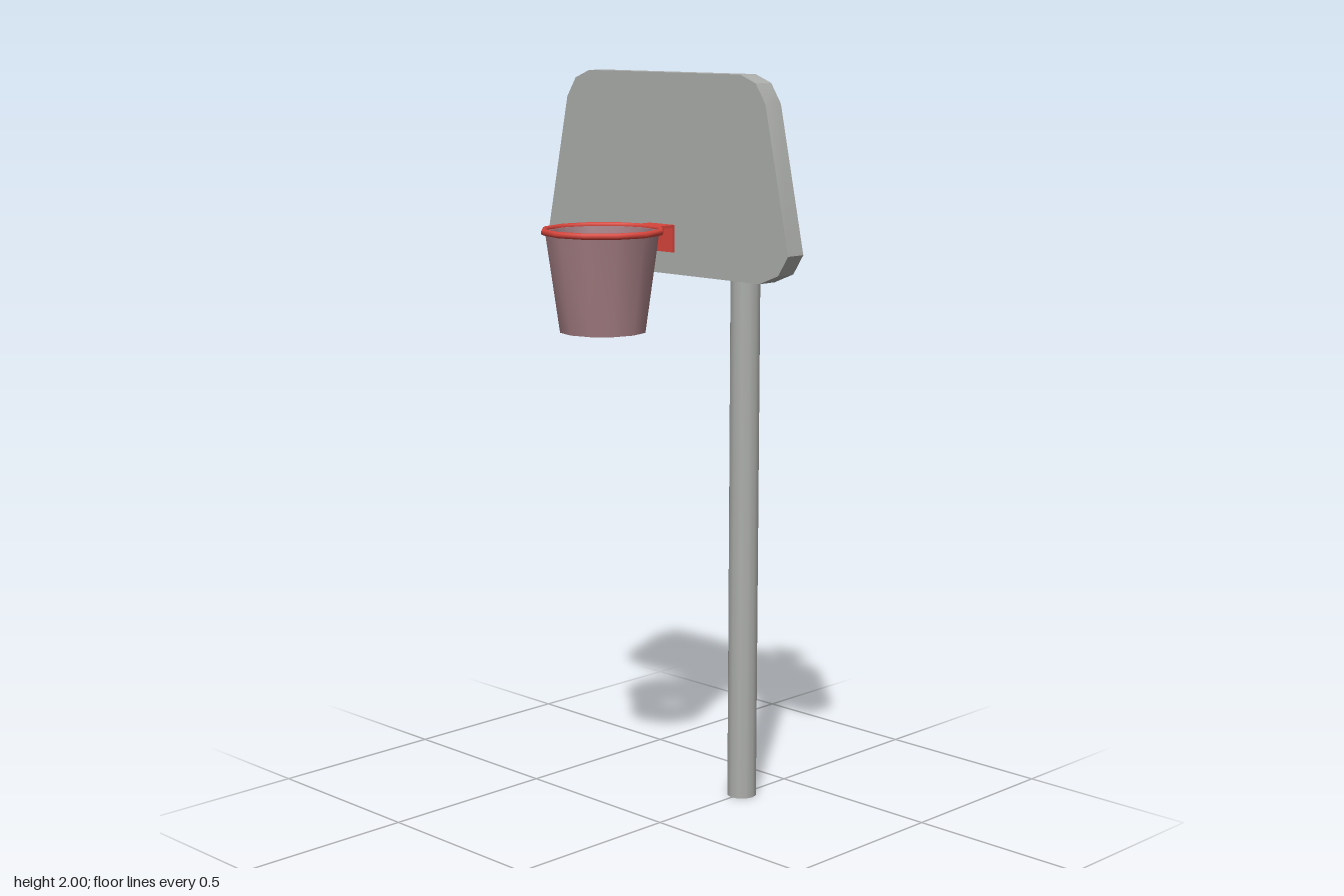
import * as THREE from 'three';
import { toCreasedNormals } from 'three/addons/utils/BufferGeometryUtils.js';

const steel = new THREE.MeshStandardMaterial({ color: 0xacaeab });
steel.name = 'grey steel';
const red = new THREE.MeshStandardMaterial({ color: 0xd6453c });
red.name = 'rim red';
const netPink = new THREE.MeshStandardMaterial({ color: 0xa37d82 });
netPink.name = 'dusty pink net';

const HOOP_Z = 0.203;
const RIM_Y = 1.613;

export function createModel() {
  const group = new THREE.Group();
  const add = (name, geometry, material, x = 0, y = 0, z = 0) => {
    const mesh = new THREE.Mesh(geometry, material);
    mesh.name = name;
    mesh.position.set(x, y, z);
    group.add(mesh);
    return mesh;
  };

  // Pole
  add('pole', new THREE.CylinderGeometry(0.041, 0.041, 1.7, 12), steel, 0, 0.85, -0.323);

  // Backboard: tapered panel with clipped corners, mirrored from one half
  const half = [[0.34, 1.49], [0.402, 1.515], [0.434, 1.565], [0.355, 1.93], [0.322, 1.98], [0.27, 2]];
  const outline = [...half, ...half.map(([x, y]) => [-x, y]).reverse()];
  const panel = new THREE.Shape(outline.map(([x, y]) => new THREE.Vector2(x, y)));
  const board = new THREE.ExtrudeGeometry(panel, { depth: 0.056, bevelEnabled: false });
  add('backboard', toCreasedNormals(board, 0.5), steel, 0, 0, -0.064);

  // Four sloping struts, passing either side of the pole
  const up = new THREE.Vector3(0, 1, 0);
  for (const side of [-1, 1]) {
    for (const [level, y] of [['upper', 1.82], ['lower', 1.68]]) {
      const start = new THREE.Vector3(side * 0.057, y, -0.05);
      const end = new THREE.Vector3(side * 0.057, y - 0.153, -0.353);
      const dir = end.clone().sub(start);
      const strut = add(`${level}${side > 0 ? 'Left' : 'Right'}Strut`,
        new THREE.CylinderGeometry(0.016, 0.016, dir.length(), 12), steel);
      strut.position.copy(start).add(end).multiplyScalar(0.5);
      strut.quaternion.setFromUnitVectors(up, dir.normalize());
    }
  }

  // Rim
  const rim = new THREE.TorusGeometry(0.15, 0.008, 8, 12).rotateX(Math.PI / 2);
  add('rim', rim, red, 0, RIM_Y, HOOP_Z);

  // Angle bracket joining rim and board
  add('bracketTop', new THREE.BoxGeometry(0.09, 0.007, 0.065), red, 0, RIM_Y, 0.0245);
  add('bracketBack', new THREE.BoxGeometry(0.09, 0.07, 0.007), red, 0, 1.5815, -0.0045);

  // Net: walled tapering tube, open at both ends
  const profile = [[0.111, 1.36], [0.147, 1.612], [0.136, 1.612], [0.1, 1.36], [0.111, 1.36]]
    .map(([r, y]) => new THREE.Vector2(r, y));
  const net = toCreasedNormals(new THREE.LatheGeometry(profile, 12), 0.7);
  add('net', net, netPink, 0, 0, HOOP_Z);

  return group;
}
